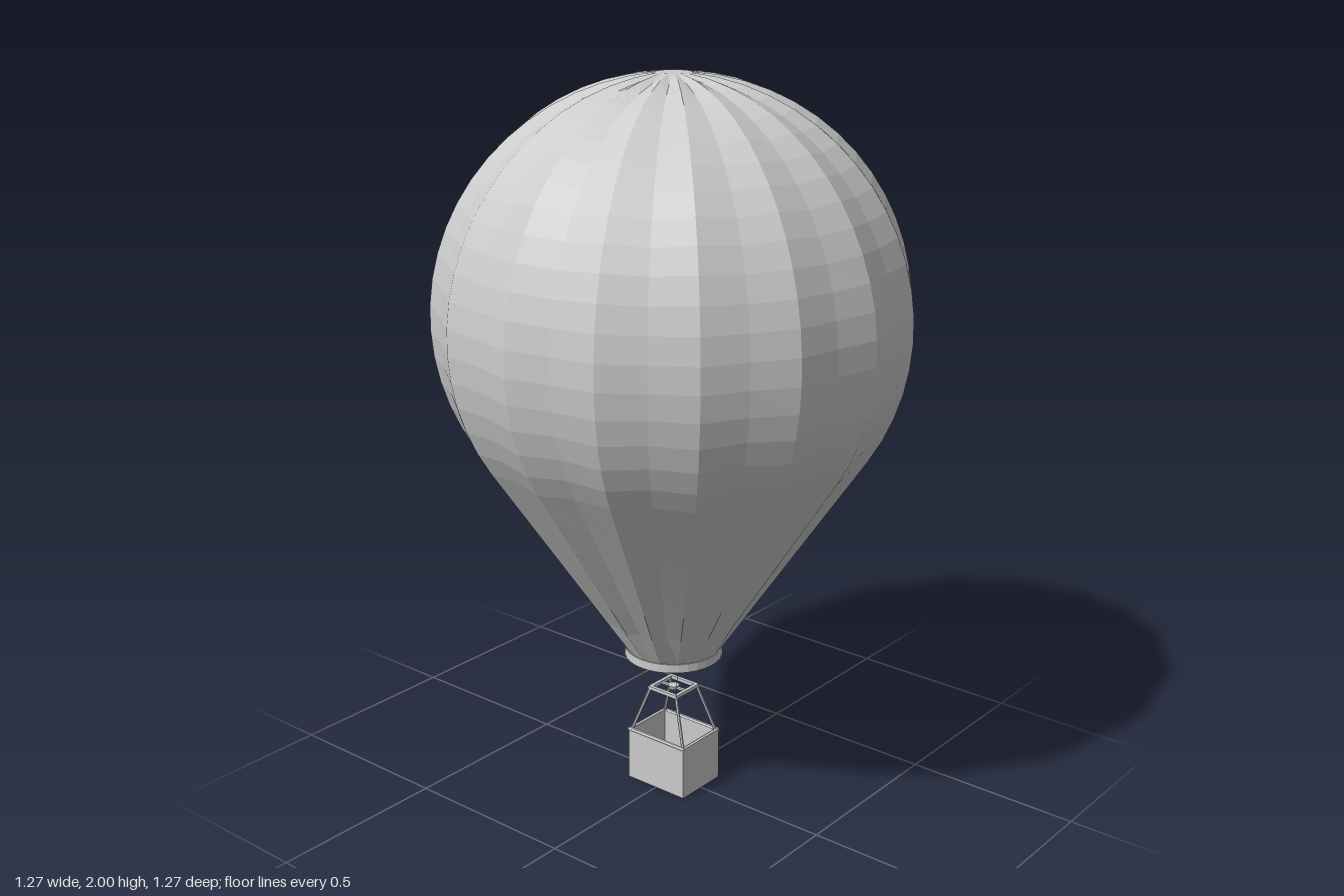
import * as THREE from 'three';

const material = new THREE.MeshStandardMaterial({ color: 0xcccccc, flatShading: true });
const thin = new THREE.MeshStandardMaterial({ color: 0xcccccc, flatShading: true, side: THREE.DoubleSide });

function add(parent, name, geometry, mat = material) {
  const mesh = new THREE.Mesh(geometry, mat);
  mesh.name = name;
  parent.add(mesh);
  return mesh;
}

function box(parent, name, size, pos) {
  const mesh = add(parent, name, new THREE.BoxGeometry(...size));
  mesh.position.set(...pos);
  return mesh;
}

// Straight round bar between two points
function bar(parent, name, a, b, radius, sides = 6) {
  const from = new THREE.Vector3(...a), to = new THREE.Vector3(...b);
  const dir = to.clone().sub(from);
  const mesh = add(parent, name, new THREE.CylinderGeometry(radius, radius, dir.length(), sides));
  mesh.position.copy(from).add(to).multiplyScalar(0.5);
  mesh.quaternion.setFromUnitVectors(new THREE.Vector3(0, 1, 0), dir.normalize());
}

// Gored envelope: a sphere running tangentially into a cone, with 16 sharp
// ridges and a sunken line between each pair
function envelopeGeometry() {
  const R = 0.635, cy = 1.365, rows = [], columns = 32;
  const start = 0.07, end = 2.157, bands = 19;
  for (let i = 0; i <= bands; i++) {
    const a = start + (end - start) * i / bands;
    rows.push({ r: R * Math.sin(a), y: cy + R * Math.cos(a), a });
  }
  const last = rows[bands];
  for (let i = 1; i <= 6; i++) {
    const t = i / 6;
    rows.push({ r: THREE.MathUtils.lerp(last.r, 0.134, t), y: THREE.MathUtils.lerp(last.y, 0.42, t), a: end });
  }
  const positions = [0, rows[0].y, 0], index = [];
  rows.forEach(({ r, y, a }, i) => {
    const sink = i === 0 || i === rows.length - 1 ? 0 : 0.006 + 0.012 * r / R;
    for (let j = 0; j < columns; j++) {
      const d = j % 2 ? sink : 0, t = j / columns * Math.PI * 2;
      const rr = r - d * Math.sin(a);
      positions.push(rr * Math.sin(t), y - d * Math.cos(a), rr * Math.cos(t));
    }
  });
  for (let j = 0; j < columns; j++) {
    const k = (j + 1) % columns;
    index.push(0, 1 + j, 1 + k); // crown cap
    for (let i = 0; i < rows.length - 1; i++) {
      const p = 1 + i * columns, q = p + columns;
      index.push(p + j, q + j, q + k, p + j, q + k, p + k);
    }
  }
  const g = new THREE.BufferGeometry();
  g.setAttribute('position', new THREE.Float32BufferAttribute(positions, 3));
  g.setIndex(index);
  g.computeVertexNormals();
  return g;
}

export function createModel() {
  const model = new THREE.Group();
  model.name = 'hotAirBalloon';

  add(model, 'envelope', envelopeGeometry(), thin);

  // Open band around the mouth
  const mouth = [[0.13, 0.42], [0.137, 0.42], [0.137, 0.395], [0.13, 0.395], [0.13, 0.42]];
  add(model, 'mouthBand', new THREE.LatheGeometry(mouth.map(p => new THREE.Vector2(...p)), 32), thin);

  // Basket: floor, four walls and rim
  const basket = new THREE.Group();
  basket.name = 'basket';
  model.add(basket);
  const X = 0.1, Z = 0.08, H = 0.152, T = 0.008;
  box(basket, 'floor', [2 * X, 0.01, 2 * Z], [0, 0.005, 0]);
  for (const s of [-1, 1]) {
    box(basket, 'sideWall', [T, H, 2 * Z], [s * (X - T / 2), H / 2, 0]);
    box(basket, 'endWall', [2 * (X - T), H, T], [0, H / 2, s * (Z - T / 2)]);
    bar(basket, 'sideRim', [s * (X - 0.003), H, -Z], [s * (X - 0.003), H, Z], 0.006);
    bar(basket, 'endRim', [-X, H, s * (Z - 0.003)], [X, H, s * (Z - 0.003)], 0.006);
  }

  // Square burner frame, its posts and the thin ropes to the mouth
  const F = 0.046, Y = 0.287;
  for (const s of [-1, 1]) {
    box(model, 'frameSide', [0.01, 0.01, 2 * F + 0.01], [s * F, Y, 0]);
    box(model, 'frameEnd', [2 * F - 0.01, 0.01, 0.01], [0, Y, s * F]);
    for (const t of [-1, 1]) {
      bar(model, 'post', [s * (X - 0.007), H, t * (Z - 0.007)], [s * F, Y, t * F], 0.0045);
      bar(model, 'rope', [s * F, Y, t * F], [s * 0.086, 0.4, t * 0.086], 0.001, 4);
    }
  }

  // Burner on its crossbar
  box(model, 'burnerCrossbar', [2 * F, 0.006, 0.008], [0, Y, 0]);
  const burner = add(model, 'burner', new THREE.CylinderGeometry(0.016, 0.012, 0.012, 12));
  burner.position.y = Y;

  return model;
}
